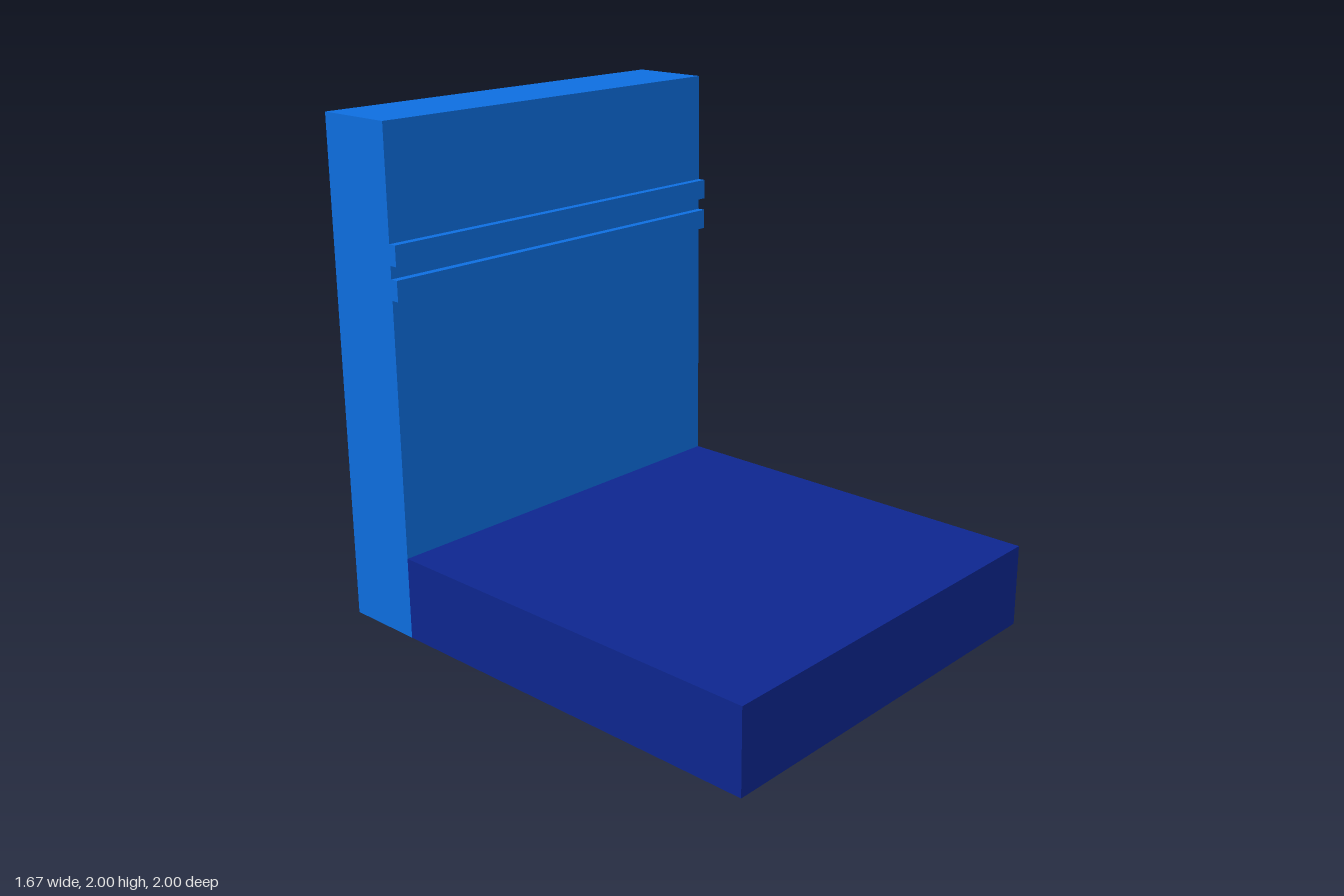
import * as THREE from 'three';

const WIDTH = 1.667;

export function createModel() {
  const model = new THREE.Group();
  const dark = new THREE.MeshStandardMaterial({ color: 0x0d268f });
  const light = new THREE.MeshStandardMaterial({ color: 0x0d6ee0 });

  // Full-width block spanning the given y and z ranges
  function slab(name, material, y0, y1, z0, z1) {
    const mesh = new THREE.Mesh(new THREE.BoxGeometry(WIDTH, y1 - y0, z1 - z0), material);
    mesh.position.set(0, (y0 + y1) / 2, (z0 + z1) / 2);
    mesh.name = name;
    model.add(mesh);
  }

  // Seat and upright back
  slab('seat', dark, 0, 0.333, -0.667, 1);
  slab('backrest', light, 0, 2, -1, -0.667);

  // Two thin rails across the front of the back
  slab('lowerRail', light, 1.35, 1.43, -0.667, -0.635);
  slab('upperRail', light, 1.48, 1.56, -0.667, -0.635);

  return model;
}
